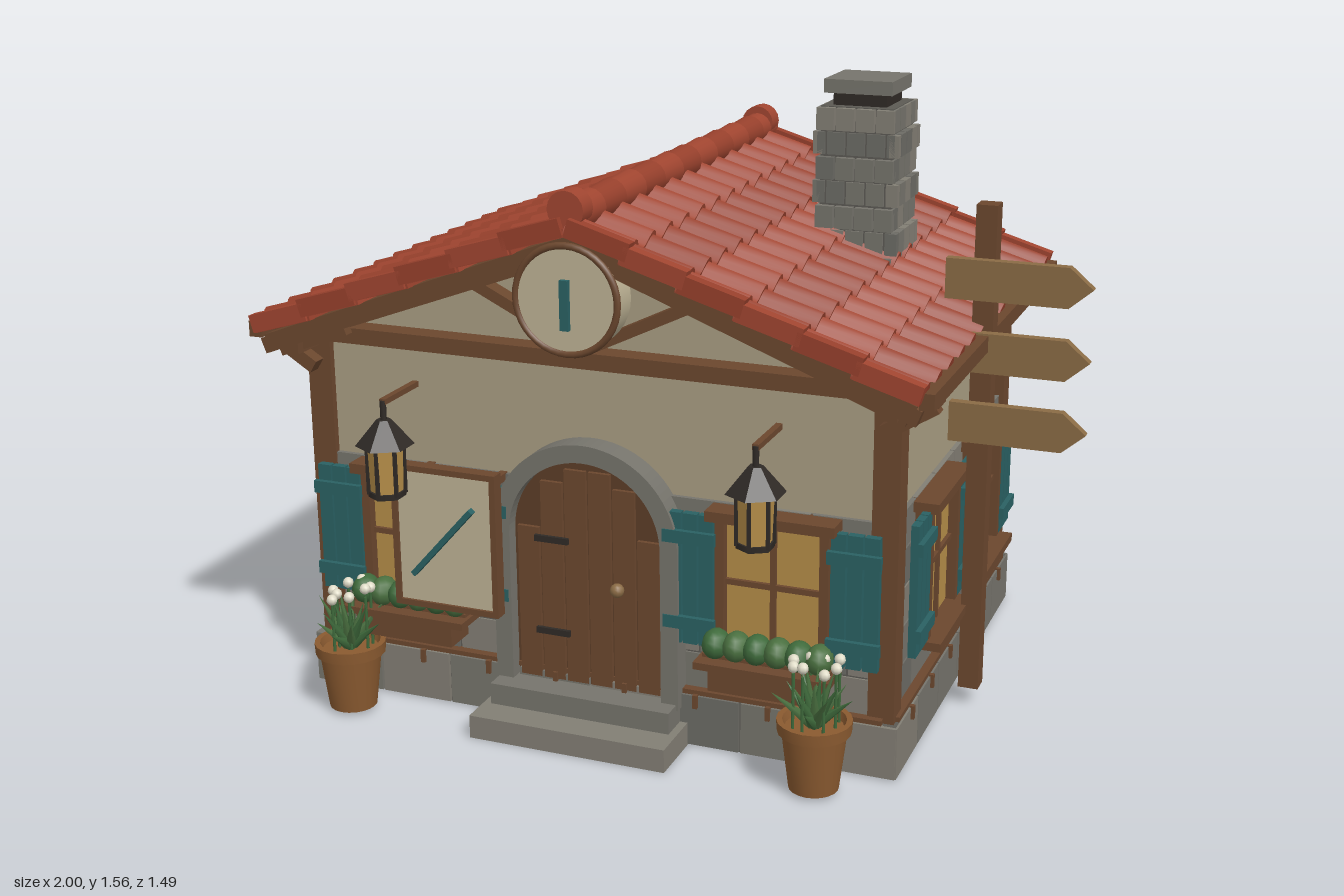
import * as THREE from 'three';
import { toCreasedNormals } from 'three/addons/utils/BufferGeometryUtils.js';

const C = {
  wood: 0x6b472e, light: 0x8a6b45, door: 0x5c3d27, stone: [0x76746c, 0x6c6b65, 0x827e74], mortar: 0x5c5a54,
  plaster: 0xa99d82, cream: 0xbdb294, teal: 0x2a6163, glass: 0xb58d48, tile: [0xa04530, 0x97402c],
  iron: 0x2f2a26, pot: 0x8a5a30, leaf: 0x3f6b3c, hedge: 0x4a7040, bloom: 0xe0dcc8,
};
const mats = {};
const mat = (c) => (mats[c] ??= new THREE.MeshStandardMaterial({ color: c }));
let seed = 7;
const rnd = () => (seed = (seed * 16807) % 2147483647) / 2147483647;

function add(parent, name, geo, color, x = 0, y = 0, z = 0) {
  const m = new THREE.Mesh(geo, mat(color));
  m.name = name;
  m.position.set(x, y, z);
  parent.add(m);
  return m;
}
const box = (p, name, color, w, h, d, x, y, z) => add(p, name, new THREE.BoxGeometry(w, h, d), color, x, y, z);
function group(parent, name, x = 0, y = 0, z = 0, ry = 0) {
  const g = new THREE.Group();
  g.name = name;
  g.position.set(x, y, z);
  g.rotation.y = ry;
  parent.add(g);
  return g;
}
// straight timber between two points of an upright plane
function beam(p, name, color, x1, y1, x2, y2, h, d, z) {
  const m = box(p, name, color, Math.hypot(x2 - x1, y2 - y1), h, d, (x1 + x2) / 2, (y1 + y2) / 2, z);
  m.rotation.z = Math.atan2(y2 - y1, x2 - x1);
  return m;
}
// one course of blocks centred on x = 0, with outer face at z
function course(p, name, width, y0, y1, z, n, shift, depth = 0.03) {
  const s = width / n, gap = 0.006;
  for (let i = 0; i <= n; i++) {
    const a = Math.max(-width / 2, -width / 2 + (i - shift) * s);
    const b = Math.min(width / 2, -width / 2 + (i + 1 - shift) * s);
    if (b - a < 0.01) continue;
    box(p, name, C.stone[Math.floor(rnd() * 3)], b - a - gap, y1 - y0 - gap, depth, (a + b) / 2, (y0 + y1) / 2, z - depth / 2);
  }
}

function shutteredWindow(face, x, z) {
  const w = group(face, 'window', x, 0, z);
  box(w, 'pane', C.glass, 0.25, 0.34, 0.03, 0, 0.445, 0.015);
  box(w, 'mullion', C.wood, 0.014, 0.34, 0.02, 0, 0.445, 0.03);
  box(w, 'glazingBar', C.wood, 0.25, 0.014, 0.02, 0, 0.45, 0.03);
  box(w, 'lintel', C.wood, 0.32, 0.026, 0.07, 0, 0.622, 0.04);
  box(w, 'sill', C.wood, 0.32, 0.022, 0.09, 0, 0.267, 0.045);
  for (const s of [-1, 1]) {
    box(w, 'jamb', C.wood, 0.022, 0.35, 0.05, s * 0.13, 0.445, 0.03);
    const sh = group(w, 'shutter', s * 0.205, 0.447, 0.045);
    for (const k of [-1, 0, 1]) box(sh, 'slat', C.teal, 0.036, 0.335, 0.02, k * 0.041, 0, 0);
    for (const y of [-0.11, 0.11]) box(sh, 'batten', C.teal, 0.132, 0.032, 0.014, 0, y, 0.016);
  }
}

function walls(house) {
  box(house, 'plinth', C.mortar, 1.57, 0.135, 1.17, 0, 0.0675, 0);
  box(house, 'wallCore', C.plaster, 1.5, 0.86, 1.11, 0, 0.53, 0);
  for (const [name, a, half, len, xs] of [['frontWall', 0, 0.555, 1.5, [-0.478, 0.478]], ['backWall', Math.PI, 0.555, 1.5, [-0.32, 0.32]],
    ['rightWall', Math.PI / 2, 0.75, 1.11, [-0.235, 0.235]], ['leftWall', -Math.PI / 2, 0.75, 1.11, [-0.235, 0.235]]]) {
    const f = group(house, name, 0, 0, 0, a);
    const n = len > 1.3 ? 8 : 6;
    course(f, 'plinthStone', len + 0.08, 0, 0.138, half + 0.04, n, 0, 0.05);
    box(f, 'stoneJoints', C.mortar, len, 0.5, 0.01, 0, 0.385, half + 0.002);
    for (let r = 0; r < 5; r++) course(f, 'wallStone', len, 0.14 + r * 0.1, 0.24 + r * 0.1, half + 0.012, n, (r % 2) / 2);
    box(f, 'baseRail', C.wood, len, 0.012, 0.04, 0, 0.142, half + 0.015);
    for (let i = 0; i < n; i++) box(f, 'railPeg', C.wood, 0.012, 0.035, 0.012, (i + 0.5 - n / 2) * (len / n), 0.122, half + 0.042);
    for (const x of xs) shutteredWindow(f, x, half);
  }
  for (const sx of [-1, 1]) for (const sz of [-1, 1])
    box(house, 'cornerPost', C.wood, 0.065, 0.85, 0.065, sx * 0.743, 0.53, sz * 0.54);
}

function gables(house) {
  const tri = new THREE.Shape([new THREE.Vector2(-0.76, 0.94), new THREE.Vector2(0.76, 0.94), new THREE.Vector2(0, 1.25)]);
  add(house, 'gable', new THREE.ExtrudeGeometry(tri, { depth: 1.11, bevelEnabled: false }), C.plaster, 0, 0, -0.555);
  for (const a of [0, Math.PI]) {
    const t = group(house, 'truss', 0, 0, 0, a);
    box(t, 'tieBeam', C.wood, 1.74, 0.04, 0.06, 0, 0.965, 0.585);
    box(t, 'kingPost', C.wood, 0.045, 0.26, 0.05, 0, 1.1, 0.58);
    for (const s of [-1, 1]) {
      beam(t, 'principalRafter', C.wood, 0, 1.235, s * 0.83, 0.93, 0.035, 0.06, 0.585);
      beam(t, 'strut', C.wood, 0, 0.985, s * 0.3, 1.13, 0.028, 0.045, 0.577);
      beam(t, 'eaveBrace', C.wood, s * 0.74, 0.87, s * 0.86, 0.945, 0.035, 0.035, 0.59);
    }
  }
}

function roof(house) {
  // pantile course: barrels and shallow troughs across, extruded down the slope
  const N = 13, W = 1.385, pts = [];
  for (let i = 0; i <= N * 10; i++) {
    const t = (i % 10) / 10;
    const v = t < 0.6 ? 0.03 * Math.sin(Math.PI * t / 0.6) : -0.007 * Math.sin(Math.PI * (t - 0.6) / 0.4);
    pts.push(new THREE.Vector2(-W / 2 + i * W / N / 10, v));
  }
  pts.push(new THREE.Vector2(W / 2, -0.02), new THREE.Vector2(-W / 2, -0.02));
  const tileGeo = toCreasedNormals(new THREE.ExtrudeGeometry(new THREE.Shape(pts), { depth: 0.165, bevelEnabled: false })
    .rotateY(Math.PI / 2).rotateZ(0.075), 0.7);
  for (const s of [1, -1]) {
    const side = group(house, 'roofSide', 0, 1.3, 0, s > 0 ? 0 : Math.PI);
    const slope = group(side, 'slope');
    slope.rotation.z = -0.364;
    for (let r = 0; r < 6; r++) {
      add(slope, 'tileCourse', tileGeo, C.tile[r % 2], r * 0.148, 0, 0);
      for (const e of [-1, 1]) {
        const b = box(slope, 'vergeTile', C.tile[(r + 1) % 2], 0.16, 0.045, 0.03, r * 0.148 + 0.085, 0.011, e * 0.685);
        b.rotation.z = 0.075;
      }
    }
    box(slope, 'roofDeck', C.wood, 0.9, 0.022, 1.34, 0.45, -0.03, 0);
    for (const e of [-1, 1]) box(slope, 'bargeBoard', C.wood, 0.91, 0.04, 0.03, 0.46, -0.045, e * 0.655);
    for (let i = 0; i < 12; i++) box(slope, 'rafterTail', C.wood, 0.2, 0.045, 0.028, 0.79, -0.062, (i - 5.5) * 0.115);
    box(house, 'fascia', C.wood, 0.035, 0.04, 1.35, s * 0.857, 0.975, 0);
    box(house, 'wallPlate', C.wood, 0.05, 0.04, 1.34, s * 0.765, 0.94, 0);
  }
  for (let i = 0; i < 11; i++) {
    const m = add(house, 'ridgeTile', new THREE.CylinderGeometry(0.038, 0.044, 0.135, 16), C.tile[i % 2], 0, 1.325, (i - 5) * 0.123);
    m.rotation.x = Math.PI / 2;
  }
  for (const s of [-1, 1]) {
    const m = add(house, 'ridgeEnd', new THREE.CylinderGeometry(0.046, 0.046, 0.055, 16), C.tile[0], 0, 1.34, s * 0.655);
    m.rotation.x = Math.PI / 2;
  }
}

function chimney(house) {
  const g = group(house, 'chimney', 0.463, 0, -0.165);
  box(g, 'chimneyCore', C.mortar, 0.19, 0.45, 0.19, 0, 1.265, 0);
  for (let r = 0; r < 7; r++) for (let k = 0; k < 4; k++) {
    const f = group(g, 'brickFace', 0, 0, 0, k * Math.PI / 2);
    const half = r % 2 === k % 2 ? 0.113 : 0.102;
    course(f, 'brick', 0.21, 1.05 + r * 0.063, 1.113 + r * 0.063, half, 4, (r % 2) / 2, 0.025);
  }
  box(g, 'chimneyNeck', C.iron, 0.14, 0.04, 0.14, 0, 1.505, 0);
  box(g, 'chimneyCap', C.stone[0], 0.18, 0.035, 0.18, 0, 1.54, 0);
}

function archShape(r, y0, spring) {
  const s = new THREE.Shape();
  s.moveTo(-r, y0);
  s.lineTo(r, y0);
  s.lineTo(r, spring);
  s.absarc(0, spring, r, 0, Math.PI, false);
  s.closePath();
  return s;
}
function entrance(house) {
  const g = group(house, 'entrance');
  const ring = archShape(0.245, 0.1, 0.51);
  ring.holes.push(archShape(0.2, 0.1001, 0.51));
  const opts = (depth) => ({ depth, bevelEnabled: false, curveSegments: 20 });
  add(g, 'doorArch', new THREE.ExtrudeGeometry(ring, opts(0.07)), C.stone[0], 0, 0, 0.55);
  add(g, 'door', new THREE.ExtrudeGeometry(archShape(0.2, 0.115, 0.51), opts(0.035)), C.door, 0, 0, 0.55);
  for (let i = 0; i < 6; i++) {
    const x = (i - 2.5) * 0.064, h = 0.5 + Math.sqrt(0.19 ** 2 - (Math.abs(x) + 0.029) ** 2 || 0) - 0.12;
    box(g, 'plank', C.wood, 0.057, h, 0.012, x, 0.12 + h / 2, 0.59);
  }
  for (const y of [0.25, 0.495]) box(g, 'hinge', C.iron, 0.09, 0.016, 0.01, -0.095, y, 0.6);
  add(g, 'knob', new THREE.SphereGeometry(0.018, 12, 8), C.light, 0.083, 0.39, 0.61);
  box(g, 'lowerStep', C.stone[2], 0.52, 0.06, 0.2, 0, 0.03, 0.65);
  box(g, 'upperStep', C.stone[0], 0.48, 0.055, 0.12, 0, 0.0875, 0.61);
}

function frontFittings(house) {
  for (const s of [-1, 1]) {
    const fb = group(house, 'flowerBox', s * 0.478, 0, 0.63);
    box(fb, 'trough', C.wood, 0.27, 0.055, 0.09, 0, 0.225, 0);
    box(fb, 'troughRim', C.wood, 0.34, 0.018, 0.105, 0, 0.26, 0);
    for (let i = 0; i < 6; i++) {
      const h = add(fb, 'hedge', new THREE.SphereGeometry(0.034, 10, 8), i % 2 ? C.hedge : C.leaf, (i - 2.5) * 0.052, 0.302, 0);
      h.scale.set(1, 1.1, 1.25);
    }
    const l = group(house, 'lantern', s * 0.478, 0, 0.72);
    box(l, 'lanternArm', C.wood, 0.016, 0.014, 0.165, 0, 0.842, -0.08);
    add(l, 'hanger', new THREE.CylinderGeometry(0.008, 0.008, 0.06, 8), C.iron, 0, 0.815, 0);
    add(l, 'lanternHat', new THREE.CylinderGeometry(0.018, 0.072, 0.065, 6).toNonIndexed(), C.iron, 0, 0.765, 0).geometry.computeVertexNormals();
    add(l, 'lanternGlass', toCreasedNormals(new THREE.CylinderGeometry(0.046, 0.04, 0.12, 6), 0.2), C.glass, 0, 0.672, 0);
    add(l, 'lanternBase', new THREE.CylinderGeometry(0.046, 0.046, 0.014, 6), C.iron, 0, 0.608, 0);
    for (let i = 0; i < 6; i++)
      box(l, 'lanternBar', C.iron, 0.008, 0.125, 0.008, 0.044 * Math.sin(i * Math.PI / 3), 0.67, 0.044 * Math.cos(i * Math.PI / 3));
    plantPot(house, s * 0.62, 0.7);
  }
  // notice board with a slanted marker
  const n = group(house, 'noticeBoard', -0.342, 0.49, 0.675);
  box(n, 'boardPanel', C.cream, 0.27, 0.36, 0.02, 0, 0, 0);
  for (const s of [-1, 1]) {
    box(n, 'boardRail', C.wood, 0.28, 0.015, 0.035, 0, s * 0.178, 0);
    box(n, 'boardStile', C.wood, 0.015, 0.37, 0.035, s * 0.135, 0, 0);
    box(n, 'boardStandoff', C.wood, 0.02, 0.02, 0.12, s * 0.1, 0.14, -0.06);
  }
  beam(n, 'boardMarker', C.teal, -0.085, -0.095, 0.08, 0.09, 0.014, 0.02, 0.02);
  // round gable plaque
  const d = group(house, 'gablePlaque', 0, 1.13, 0.65);
  add(d, 'plaqueDisc', new THREE.CylinderGeometry(0.13, 0.13, 0.08, 36).rotateX(Math.PI / 2), C.cream);
  add(d, 'plaqueRim', new THREE.TorusGeometry(0.129, 0.009, 8, 40), C.wood, 0, 0, 0.037);
  box(d, 'plaqueBar', C.teal, 0.022, 0.12, 0.014, 0, -0.01, 0.045);
}

function plantPot(house, x, z) {
  const g = group(house, 'plantPot', x, 0, z);
  const prof = [[0, 0.01], [0.06, 0.01], [0.078, 0.155], [0.088, 0.155], [0.09, 0.185], [0.076, 0.185], [0.07, 0.165], [0, 0.165]];
  add(g, 'pot', toCreasedNormals(new THREE.LatheGeometry(prof.map((p) => new THREE.Vector2(...p)), 20), 0.5), C.pot);
  for (let i = 0; i < 20; i++) {
    const len = 0.11 + rnd() * 0.05;
    const leaf = add(g, 'leaf', new THREE.ConeGeometry(0.017, len, 5).translate(0, len / 2, 0), i % 2 ? C.leaf : C.hedge, 0, 0.17, 0);
    leaf.rotation.set(0, i * 2.4, 0.15 + 0.85 * (i / 20), 'YXZ');
  }
  for (let i = 0; i < 8; i++) {
    const r = 0.02 + 0.045 * rnd(), a = i * 2.4;
    add(g, 'stem', new THREE.CylinderGeometry(0.004, 0.004, 0.14, 5), C.leaf, r * Math.cos(a), 0.24, r * Math.sin(a));
    add(g, 'flower', new THREE.SphereGeometry(0.014, 8, 6), C.bloom, r * Math.cos(a), 0.31 + 0.025 * rnd(), r * Math.sin(a));
  }
}

function signpost(root) {
  const g = group(root, 'signpost', 0.73, 0, 0.065);
  box(g, 'post', C.wood, 0.052, 1.26, 0.052, 0, 0.68, 0);
  [[0.77, -0.07], [0.95, -0.07], [1.13, -0.09]].forEach(([y, x0]) => {
    const s = new THREE.Shape([[x0, -0.05], [0.21, -0.05], [0.268, 0], [0.21, 0.05], [x0, 0.05]].map((p) => new THREE.Vector2(...p)));
    add(g, 'arrowBoard', new THREE.ExtrudeGeometry(s, { depth: 0.026, bevelEnabled: false }), C.light, 0, y, 0.025);
  });
}

export function createModel() {
  const root = new THREE.Group();
  root.name = 'cottage';
  const house = group(root, 'house', -0.123, 0, -0.05);
  walls(house);
  gables(house);
  roof(house);
  chimney(house);
  entrance(house);
  frontFittings(house);
  signpost(root);
  return root;
}
